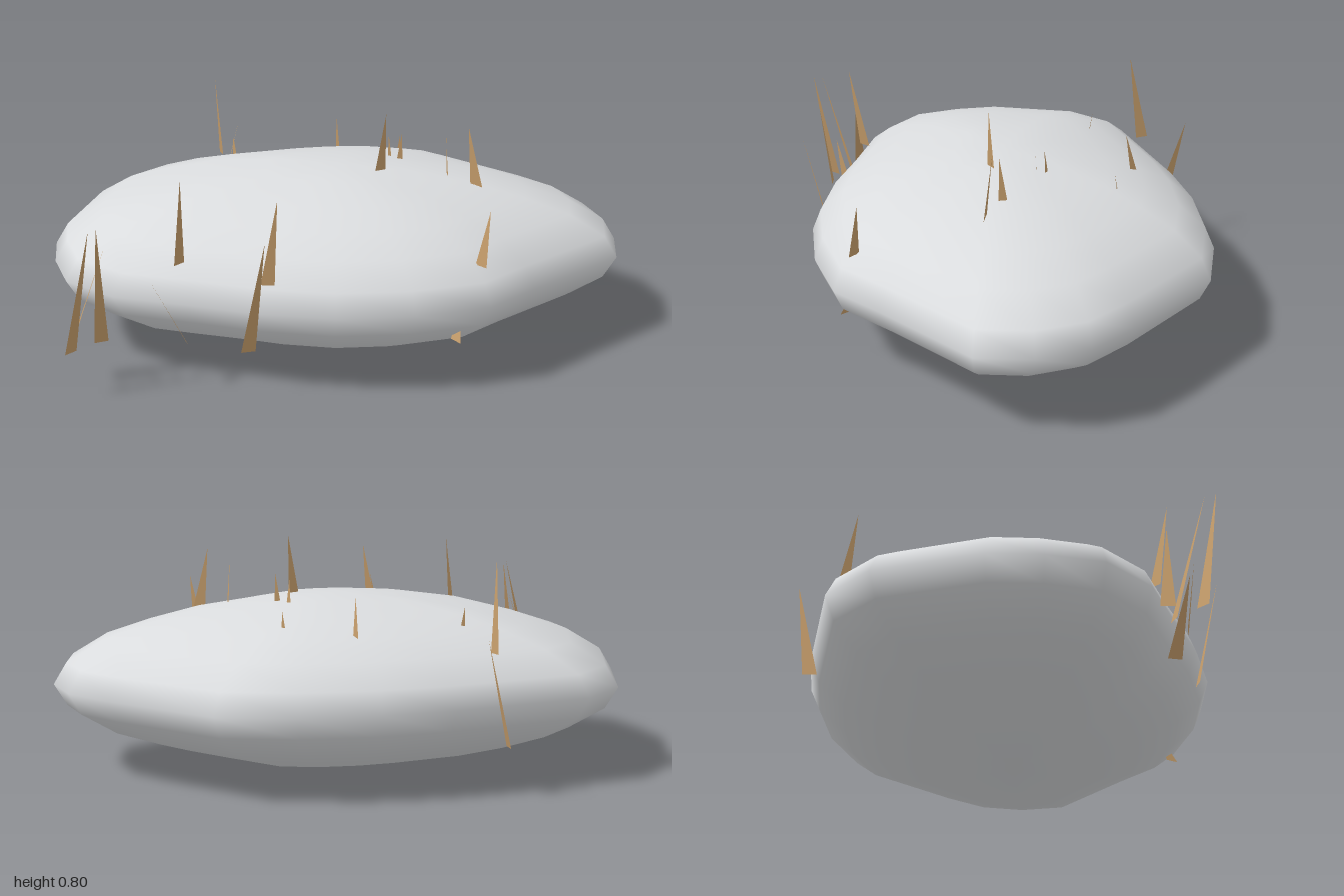
import * as THREE from 'three';

const stoneGrey = new THREE.MeshStandardMaterial({ color: 0xdadcde });
stoneGrey.name = 'stoneGrey';
const dryGrass = new THREE.MeshStandardMaterial({ color: 0xc49c6a, side: THREE.DoubleSide });
dryGrass.name = 'dryGrass';

// Rim of the stone, as x, z corners
const rim = [
  [1, -0.03], [0.975, 0.16], [0.65, 0.44], [0.49, 0.59], [0.24, 0.66], [-0.02, 0.675],
  [-0.28, 0.625], [-0.5, 0.55], [-0.75, 0.475], [-0.92, 0.335], [-0.98, 0.15], [-1, -0.03],
  [-0.91, -0.39], [-0.76, -0.55], [-0.28, -0.68], [-0.03, -0.72],
  [0.24, -0.72], [0.5, -0.66], [0.82, -0.36], [0.95, -0.21],
];
// Upper half of the stone's profile: rim scale, height above the middle
const profile = [[0.25, 0.288], [0.5, 0.248], [0.67, 0.203], [0.83, 0.15], [0.955, 0.075], [1, 0]];

// Rings shaped like the rim, shrinking towards both poles
function stoneGeometry() {
  const rings = [...profile, ...profile.slice(0, -1).reverse().map(([s, h]) => [s, -h])];
  const n = rim.length, pos = [0, 0.6, 0], index = [];
  for (const [s, h] of rings) for (const [x, z] of rim) pos.push(x * s, 0.3 + h, z * s);
  const bottom = pos.length / 3;
  pos.push(0, 0, 0);
  const at = (r, i) => 1 + r * n + (i % n);
  for (let i = 0; i < n; i++) {
    index.push(0, at(0, i + 1), at(0, i));
    for (let r = 0; r < rings.length - 1; r++) {
      index.push(at(r, i), at(r, i + 1), at(r + 1, i), at(r, i + 1), at(r + 1, i + 1), at(r + 1, i));
    }
    index.push(bottom, at(rings.length - 1, i), at(rings.length - 1, i + 1));
  }
  const g = new THREE.BufferGeometry();
  g.setAttribute('position', new THREE.Float32BufferAttribute(pos, 3));
  g.setIndex(index);
  g.computeVertexNormals();
  return g;
}

// Flat pointed blade from a foot to a tip, its foot turned by yaw
function blade([x, y, z], tip, yaw, halfWidth) {
  const wx = Math.cos(yaw) * halfWidth, wz = Math.sin(yaw) * halfWidth;
  const g = new THREE.BufferGeometry();
  g.setAttribute('position', new THREE.Float32BufferAttribute(
    [x - wx, y, z - wz, x + wx, y, z + wz, ...tip], 3));
  g.computeVertexNormals();
  const m = new THREE.Mesh(g, dryGrass);
  m.name = 'grassBlade';
  return m;
}

// Blades beside the stone, all rooted at one level: foot x, z, tip x, y, z, yaw
const sideBlades = [
  [-0.88, 0.515, -0.76, 0.5, 0.525, 1.5],
  [-0.875, 0.62, -0.79, 0.61, 0.685, -0.83],
  [-0.785, 0.535, -0.77, 0.61, 0.65, -0.4],
  [-0.505, 0.545, -0.615, 0.41, 0.6, 1.3],
  [-0.3, 0.625, -0.24, 0.57, 0.71, -0.25],
  [0.38, 0.555, 0.4, 0.3, 0.5, 0.96],
  [-0.46, -0.645, -0.37, 0.535, -0.715, 1.5],
];
// Leaning blades on the stone: foot x, y, z, tip x, y, z, yaw
const leaningBlades = [
  [-0.525, 0.42, 0.49, -0.51, 0.725, 0.54, -0.85],
  [-0.235, 0.39, 0.605, -0.2, 0.69, 0.64, 0.1],
  [0.46, 0.415, 0.52, 0.488, 0.6, 0.505, 0.8],
  [0.15, 0.57, 0.05, 0.17, 0.795, 0.058, -0.51],
  [-0.43, 0.46, -0.56, -0.445, 0.77, -0.51, 1.25],
];
// Small blades on the top: foot x, z, tip x, y, z, yaw
const topBlades = [
  [0.392, 0.02, 0.38, 0.71, 0.037, 1.5],
  [0.49, 0.095, 0.455, 0.75, 0.065, 0.3],
  [0.222, -0.105, 0.235, 0.68, -0.095, 0.1],
  [0.198, -0.145, 0.19, 0.66, -0.13, 0.7],
  [0.24, -0.38, 0.245, 0.59, -0.365, 0.3],
  [-0.37, -0.35, -0.375, 0.59, -0.365, 0.3],
  [0.015, -0.465, 0.01, 0.64, -0.435, 1.05],
];

export function createModel() {
  const model = new THREE.Group();
  model.name = 'stoneWithGrass';
  const stone = new THREE.Mesh(stoneGeometry(), stoneGrey);
  stone.name = 'stone';
  const grass = new THREE.Group();
  grass.name = 'grass';
  for (const [x, z, tx, ty, tz, yaw] of sideBlades) {
    grass.add(blade([x, 0.165, z], [tx, ty, tz], yaw, 0.024));
  }
  for (const [x, y, z, tx, ty, tz, yaw] of leaningBlades) {
    grass.add(blade([x, y, z], [tx, ty, tz], yaw, 0.023));
  }
  for (const [x, z, tx, ty, tz, yaw] of topBlades) {
    grass.add(blade([x, 0.5, z], [tx, ty, tz], yaw, 0.1 * (ty - 0.5)));
  }
  model.add(stone, grass);
  return model;
}
